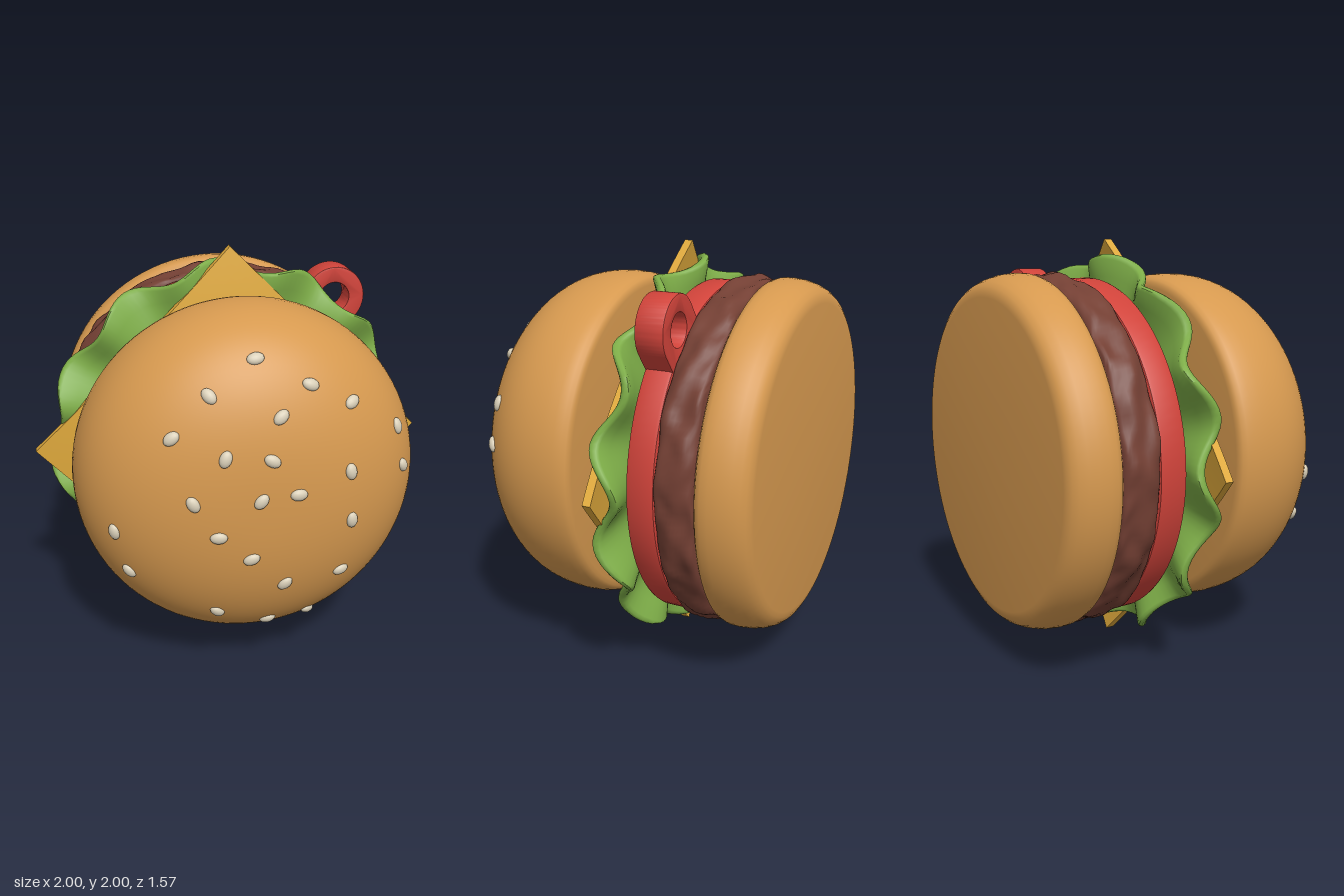
import * as THREE from 'three';
import { toCreasedNormals } from 'three/addons/utils/BufferGeometryUtils.js';

const mat = (name, color) => new THREE.MeshStandardMaterial({ name, color });

// Turn a [radius, z] profile (listed back to front) around the z axis
function turned(profile, segments = 96) {
  const g = new THREE.LatheGeometry(profile.map(([r, z]) => new THREE.Vector2(r, z)), segments);
  return g.rotateX(Math.PI / 2);
}

// Move every vertex by a rule given its position, radius and angle
function reshape(g, rule) {
  const p = g.attributes.position, v = new THREE.Vector3();
  for (let i = 0; i < p.count; i++) {
    v.fromBufferAttribute(p, i);
    rule(v, Math.hypot(v.x, v.y), Math.atan2(v.y, v.x));
    p.setXYZ(i, v.x, v.y, v.z);
  }
  return g;
}

export function createModel() {
  const model = new THREE.Group();
  model.name = 'burger';
  const bun = mat('toasted bun', 0xd6994f);
  const cheese = mat('cheese yellow', 0xdfa93c);
  const green = mat('lettuce green', 0x7eae48);
  const red = mat('tomato red', 0xd0433a);
  const brown = mat('patty brown', 0x744034);
  const cream = mat('sesame cream', 0xd9cfb8);

  const add = (name, geometry, material, x = 0, y = 0, z = 0, crease = 0.7) => {
    const m = new THREE.Mesh(crease ? toCreasedNormals(geometry, crease) : geometry, material);
    m.name = name;
    m.position.set(x, y + 1, z);
    model.add(m);
    return m;
  };

  // Domed top bun, a little fuller than an ellipse
  const R = 0.83, H = 0.565, Z0 = 0.2, N = 2.35;
  const dome = [[0, 0.075], [0.77, 0.075], [0.79, 0.078], [0.805, 0.088], [0.816, 0.108], [0.825, 0.145]];
  for (let i = 0; i <= 28; i++) {
    const a = (i / 28) * Math.PI / 2;
    dome.push([R * Math.max(0, Math.cos(a)) ** (2 / N), Z0 + H * Math.sin(a) ** (2 / N)]);
  }
  add('topBun', turned(dome), bun);

  // Sesame seeds: x, y from the bun centre, and tilt in degrees
  const seeds = [
    [-0.02, 0.67, 10], [-0.235, 0.535, -50], [0.215, 0.555, -20], [0.07, 0.44, 40],
    [0.41, 0.455, 30], [-0.405, 0.36, 35], [-0.18, 0.275, 70], [0.025, 0.255, -30],
    [0.665, 0.28, -80], [0.395, 0.155, -80], [-0.325, 0.07, -60], [-0.025, 0.07, 50],
    [0.145, 0.085, 0], [0.7, 0.085, -50], [-0.665, -0.115, -80], [-0.215, -0.1, 0],
    [0.41, -0.09, -85], [-0.065, -0.225, 20], [-0.605, -0.335, -50], [0.1, -0.39, 45],
    [0.38, -0.375, 10], [-0.205, -0.56, -45], [0.05, -0.665, 30], [0.26, -0.665, -40],
  ];
  const seedGeo = new THREE.SphereGeometry(1, 16, 10).scale(0.04, 0.028, 0.021);
  const front = new THREE.Vector3(0, 0, 1);
  for (const [x, y, tilt] of seeds) {
    const r = Math.hypot(x, y);
    const h = (1 - (r / R) ** N) ** (1 / N);
    const slope = (r / R) ** (N - 1) / R;
    const normal = new THREE.Vector3(slope * x / r, slope * y / r, h ** (N - 1) / H).normalize();
    const seed = add('sesameSeed', seedGeo, cream, x, y, Z0 + H * h, 0);
    seed.quaternion.setFromUnitVectors(front, normal);
    seed.rotateZ(THREE.MathUtils.degToRad(tilt));
  }

  // Square stub under the top bun
  add('bunStub', new THREE.BoxGeometry(0.18, 0.225, 0.1), bun, 0, 0, 0.045);

  // Four pegs joining the top bun to the lettuce
  for (let i = 0; i < 4; i++) {
    const a = i * Math.PI / 2;
    add('peg', new THREE.CylinderGeometry(0.058, 0.058, 0.3, 24).rotateX(Math.PI / 2), green,
      0.425 * Math.cos(a), 0.425 * Math.sin(a), -0.06);
  }

  // Cheese slice with drooping corners
  const slice = new THREE.BoxGeometry(Math.SQRT2, Math.SQRT2, 0.04, 28, 28, 1).rotateZ(Math.PI / 4);
  reshape(slice, (v, r) => { v.z += -0.062 - 0.075 * Math.max(0, (r - 0.45) / 0.55) ** 1.4; });
  add('cheeseSlice', slice, cheese);

  // Ruffled lettuce leaf: rim waves in radius and, a quarter wave apart, in depth
  const leaf = [];
  for (let i = 0; i <= 12; i++) leaf.push([0.885 * i / 12, -0.178]);
  leaf.push([0.899, -0.172], [0.905, -0.155], [0.899, -0.138]);
  for (let i = 12; i >= 0; i--) leaf.push([0.885 * i / 12, -0.132]);
  const ruffle = reshape(turned(leaf, 192), (v, r, a) => {
    const t = Math.max(0, (r - 0.5) / 0.4) ** 1.5;
    const grow = 1 + t * 0.032 * Math.cos(12 * (a - THREE.MathUtils.degToRad(276)));
    v.x *= grow;
    v.y *= grow;
    v.z -= t * 0.058 * Math.cos(12 * a);
  });
  add('lettuceLeaf', ruffle, green, 0, 0, 0, 1);
  add('lettuceBase', turned([[0, -0.23], [0.635, -0.23], [0.635, -0.15], [0, -0.15]]), green);

  // Tomato slice
  add('tomatoSlice', turned([[0, -0.36], [0.8, -0.36], [0.812, -0.355], [0.817, -0.343],
    [0.817, -0.24], [0.812, -0.228], [0.8, -0.223], [0, -0.223]]), red);

  // Hanging ring with a straight neck running into the tomato
  const tab = new THREE.Shape();
  tab.moveTo(-0.2, -0.157);
  tab.lineTo(0, -0.157);
  tab.absarc(0, 0, 0.157, -Math.PI / 2, Math.PI / 2, false);
  tab.lineTo(-0.2, 0.157);
  tab.closePath();
  tab.holes.push(new THREE.Path().absarc(0, 0, 0.076, 0, Math.PI * 2, true));
  const ring = new THREE.ExtrudeGeometry(tab, {
    depth: 0.121, bevelThickness: 0.008, bevelSize: 0.008, bevelOffset: -0.008, bevelSegments: 2, curveSegments: 32,
  });
  add('hangingRing', ring.rotateZ(Math.atan2(0.69, 0.565)), red, 0.565, 0.69, -0.352);

  // Rough patty
  const side = [[0, -0.548], [0.78, -0.548]];
  for (let i = 0; i <= 16; i++) {
    const a = -Math.PI / 2 + (i / 16) * Math.PI;
    side.push([0.79 + 0.05 * Math.max(0, Math.cos(a)) ** 0.5, -0.453 + 0.092 * Math.sin(a)]);
  }
  side.push([0, -0.361]);
  const patty = reshape(turned(side, 160), (v, r, a) => {
    if (r < 0.7) return;
    const z = v.z * 30;
    const bump = 0.008 * Math.sin(13 * a + 1.3 * Math.sin(z)) + 0.005 * Math.sin(23 * a - z * 0.9)
      + 0.006 * Math.sin(7 * a + z * 1.7) + 0.003 * Math.sin(37 * a + 2 * Math.sin(z * 1.2));
    v.x *= 1 + bump;
    v.y *= 1 + bump;
    v.z += 0.004 * Math.sin(13 * a + 2 * Math.sin(5 * a));
  });
  add('patty', patty, brown, 0, 0, 0, 1);

  // Bottom bun
  add('bottomBun', turned([[0, -0.788], [0.74, -0.788], [0.765, -0.785], [0.79, -0.772], [0.81, -0.75],
    [0.828, -0.715], [0.841, -0.67], [0.847, -0.62], [0.846, -0.585], [0.838, -0.562],
    [0.82, -0.55], [0, -0.55]]), bun);

  return model;
}
